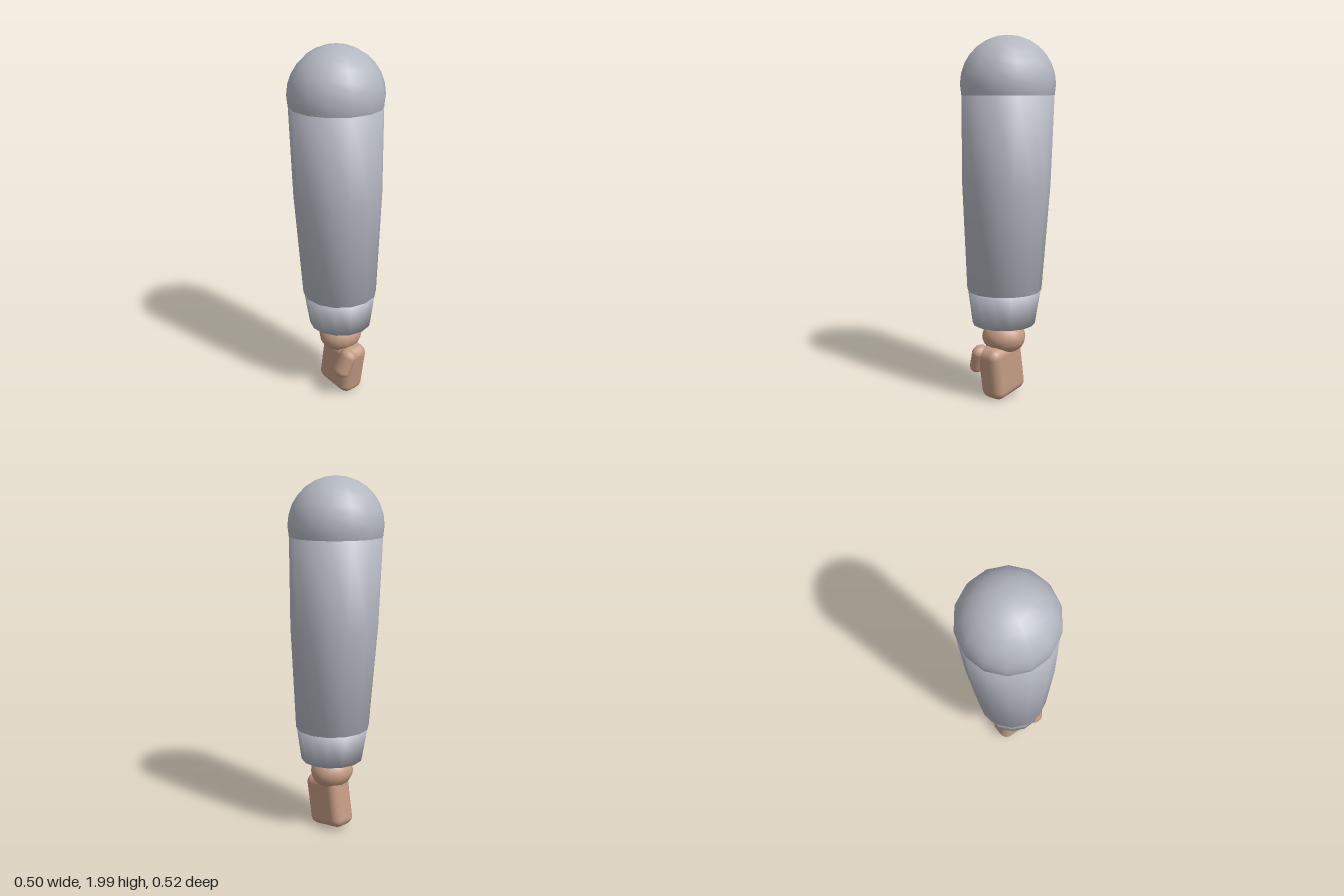
import * as THREE from 'three';
import { RoundedBoxGeometry } from 'three/addons/geometries/RoundedBoxGeometry.js';

const SIDES = 14;

export function createModel() {
  const group = new THREE.Group();
  const sleeveGrey = new THREE.MeshStandardMaterial({ color: 0xb3b7c1 });
  sleeveGrey.name = 'sleeve grey';
  const skin = new THREE.MeshStandardMaterial({ color: 0xc49c84 });
  skin.name = 'skin';

  const add = (name, geometry, material, x = 0, y = 0, z = 0) => {
    const mesh = new THREE.Mesh(geometry, material);
    mesh.name = name;
    mesh.position.set(x, y, z);
    group.add(mesh);
    return mesh;
  };

  // Closed ring profile, leaning forward towards the wrist
  const limb = (profile) => {
    const geometry = new THREE.LatheGeometry(profile.map(([r, y]) => new THREE.Vector2(r, y)), SIDES);
    const p = geometry.attributes.position;
    for (let i = 0; i < p.count; i++) {
      p.setZ(i, p.getZ(i) + 0.03 * (1.68 - p.getY(i)) / 1.06);
    }
    return geometry;
  };

  // Shoulder ball, turned so its corners line up with the sleeve
  const shoulder = add('shoulder', new THREE.SphereGeometry(0.258, SIDES, SIDES), sleeveGrey, 0, 1.742, 0);
  shoulder.rotation.y = Math.PI / 2;

  // Sleeve and cuff
  add('sleeve', limb([[0, 0.62], [0.206, 0.62], [0.241, 1.2], [0.251, 1.685], [0, 1.685]]), sleeveGrey);
  add('cuff', limb([[0, 0.43], [0.174, 0.43], [0.204, 0.63], [0, 0.63]]), sleeveGrey);

  // Wrist
  const wrist = add('wrist', new THREE.SphereGeometry(0.12, 16, 12), skin, 0, 0.352, 0.035);
  wrist.scale.set(1.04, 0.8, 0.97);

  // Mitten hand, tilted so the fingers point slightly backwards
  const hand = add('hand', new RoundedBoxGeometry(0.15, 0.3, 0.245, 3, 0.05), skin, 0, 0.17, 0.055);
  hand.rotation.x = 0.16;

  // Thumb on the right, ahead of the palm
  const top = new THREE.Vector3(-0.062, 0.275, 0.163);
  const tip = new THREE.Vector3(-0.094, 0.19, 0.147);
  const axis = top.clone().sub(tip);
  const centre = top.clone().add(tip).multiplyScalar(0.5);
  const thumb = add('thumb', new THREE.CapsuleGeometry(0.04, axis.length(), 4, 10), skin, centre.x, centre.y, centre.z);
  thumb.quaternion.setFromUnitVectors(new THREE.Vector3(0, 1, 0), axis.normalize());
  thumb.scale.z = 1.3;

  return group;
}
